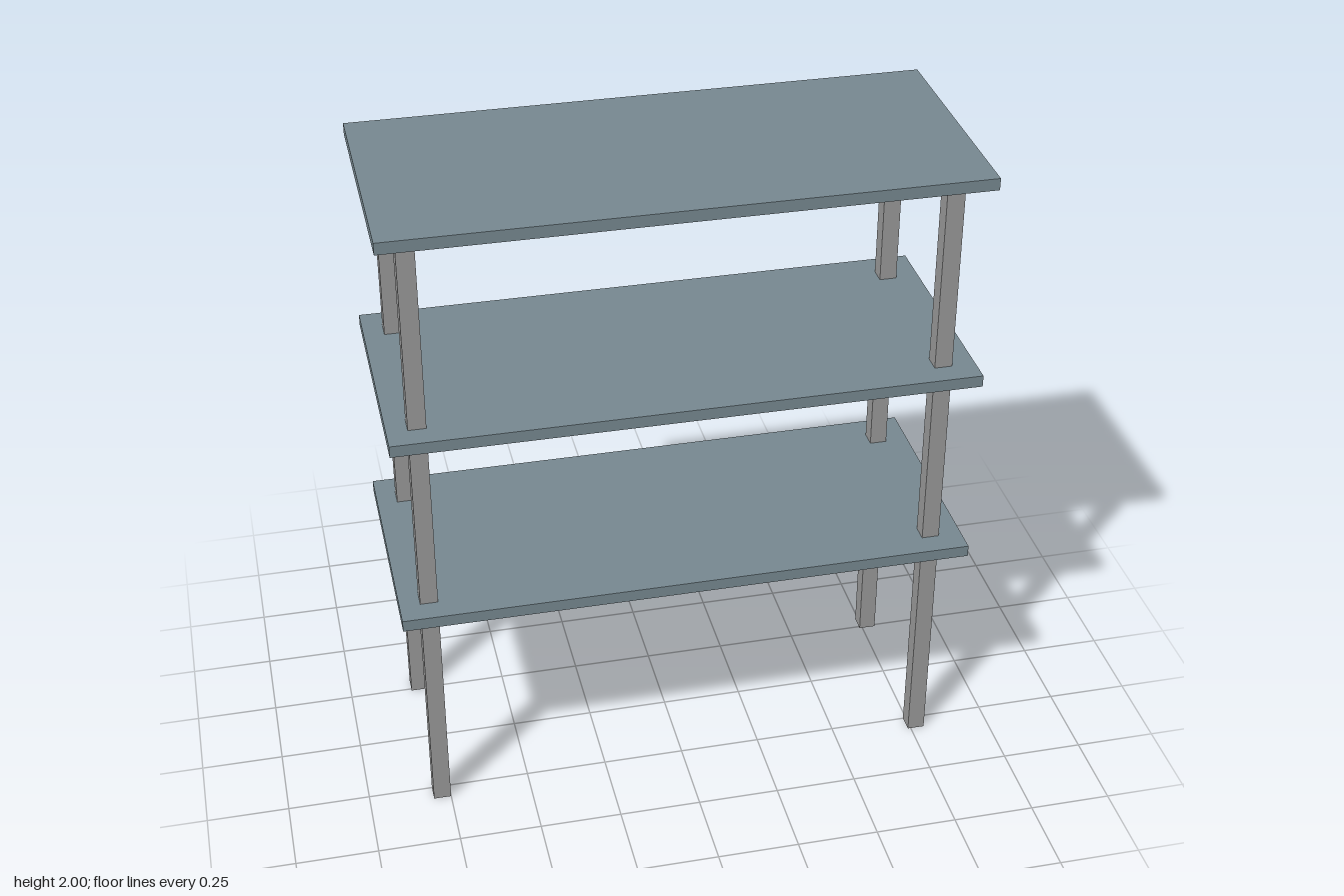
import * as THREE from 'three';

export function createModel() {
  const group = new THREE.Group();
  const shelfMaterial = new THREE.MeshStandardMaterial({ color: 0x778890 });
  const legMaterial = new THREE.MeshStandardMaterial({ color: 0x999999 });

  const addBox = (name, material, [w, h, d], [x, y, z]) => {
    const mesh = new THREE.Mesh(new THREE.BoxGeometry(w, h, d), material);
    mesh.name = name;
    mesh.position.set(x, y, z);
    group.add(mesh);
  };

  // Three equal shelves, each with a nearly flush brace let into its underside
  const thickness = 0.036;
  const shelfTops = { lower: 0.757, middle: 1.364, top: 2 };
  for (const [level, top] of Object.entries(shelfTops)) {
    addBox(`${level}Shelf`, shelfMaterial, [1.73, thickness, 0.75], [0, top - thickness / 2, 0]);
    addBox(`${level}ShelfBrace`, shelfMaterial, [1.34, 0.02, 0.12], [0, top - thickness + 0.009, 0]);
  }

  // Four square legs running from the ground to the underside of the top shelf
  const legHeight = shelfTops.top - thickness;
  for (const [side, x] of [['Left', 0.767], ['Right', -0.777]]) {
    for (const [end, z] of [['front', 0.276], ['back', -0.268]]) {
      addBox(`${end}${side}Leg`, legMaterial, [0.053, legHeight, 0.053], [x, legHeight / 2, z]);
    }
  }

  return group;
}
